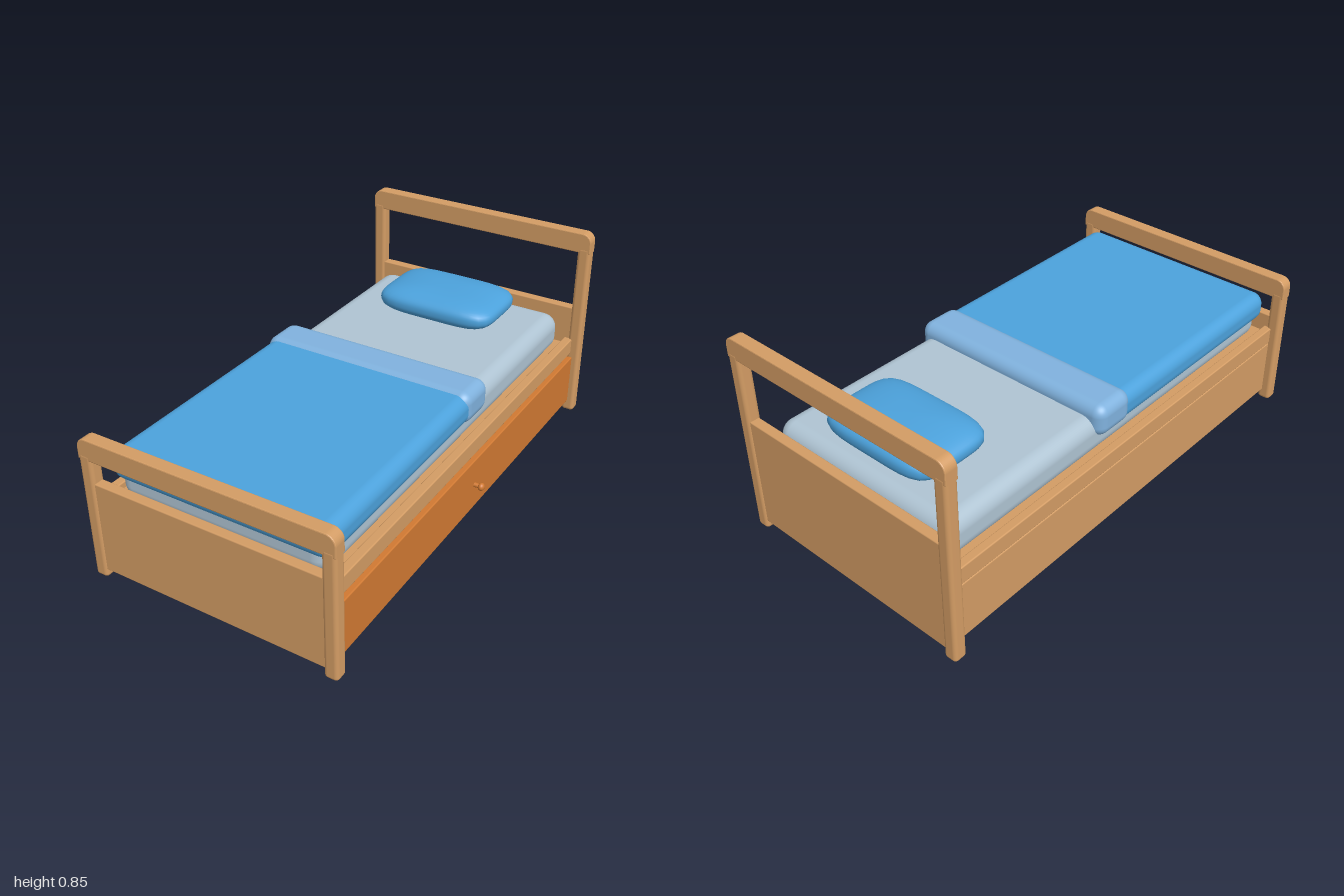
import * as THREE from 'three';
import { mergeVertices } from 'three/addons/utils/BufferGeometryUtils.js';
import { RoundedBoxGeometry } from 'three/addons/geometries/RoundedBoxGeometry.js';

const material = (name, color) => {
  const m = new THREE.MeshStandardMaterial({ color });
  m.name = name;
  return m;
};

// Rounded box given by its limits on each axis
function block(name, mat, [x0, x1], [y0, y1], [z0, z1], radius = 0.005, segments = 3) {
  const mesh = new THREE.Mesh(
    new RoundedBoxGeometry(x1 - x0, y1 - y0, z1 - z0, segments, radius), mat);
  mesh.position.set((x0 + x1) / 2, (y0 + y1) / 2, (z0 + z1) / 2);
  mesh.name = name;
  return mesh;
}

// Plump cushion: a sphere pushed out to a rounded rectangle in plan
function cushionGeometry(w, h, d) {
  let g = new THREE.SphereGeometry(1, 48, 32);
  g.deleteAttribute('uv');
  g.deleteAttribute('normal');
  g = mergeVertices(g);
  const p = g.attributes.position, v = new THREE.Vector3();
  const n = 5, m = 2.6;
  for (let i = 0; i < p.count; i++) {
    v.fromBufferAttribute(p, i);
    const plan = Math.pow(Math.abs(v.x) ** n + Math.abs(v.z) ** n, m / n);
    v.divideScalar(Math.pow(plan + Math.abs(v.y) ** m, 1 / m));
    p.setXYZ(i, v.x * w / 2, v.y * h / 2, v.z * d / 2);
  }
  g.computeVertexNormals();
  return g;
}

// Top rail with rounded upper corners
function railGeometry(width, height, depth) {
  const b = 0.004, w = width / 2 - b, h = height - 2 * b, r = 0.035;
  const s = new THREE.Shape();
  s.moveTo(-w, 0);
  s.lineTo(w, 0);
  s.lineTo(w, h - r);
  s.absarc(w - r, h - r, r, 0, Math.PI / 2);
  s.lineTo(-w + r, h);
  s.absarc(-w + r, h - r, r, Math.PI / 2, Math.PI);
  s.closePath();
  const g = new THREE.ExtrudeGeometry(s, {
    depth: depth - 2 * b, bevelSize: b, bevelThickness: b, bevelSegments: 2, curveSegments: 8,
  });
  return g.translate(0, b, b - depth / 2);
}

export function createModel() {
  const wood = material('wood', 0xd39c64);
  const orange = material('drawer orange', 0xd07932);
  const blue = material('blanket blue', 0x4ca2dc);
  const foldBlue = material('fold blue', 0x80b2de);
  const sheet = material('sheet grey', 0xafc4d3);

  const model = new THREE.Group();
  model.name = 'bed';

  // Headboard and footboard: two posts, lower panel and top rail
  const endBoard = (name, z, top, panelTop) => {
    const g = new THREE.Group();
    g.name = name;
    for (const x of [-0.53, 0.455]) {
      g.add(block('post', wood, [x, x + 0.055], [0, top - 0.06], [-0.0275, 0.0275], 0.015, 4));
    }
    g.add(block('panel', wood, [-0.49, 0.47], [0.035, panelTop], [-0.02, 0.02]));
    const rail = new THREE.Mesh(railGeometry(1.04, 0.085, 0.053), wood);
    rail.name = 'topRail';
    rail.position.set(-0.01, top - 0.085, 0);
    g.add(rail);
    g.position.z = z;
    model.add(g);
  };
  endBoard('headboard', -0.9725, 0.845, 0.5);
  endBoard('footboard', 0.9725, 0.59, 0.41);

  // Base and side boards
  const length = [-0.955, 0.955];
  model.add(
    block('base', wood, [-0.475, 0.455], [0.042, 0.33], length),
    block('leftSideRail', wood, [-0.495, -0.46], [0.283, 0.355], length),
    block('leftSidePanel', wood, [-0.494, -0.46], [0.042, 0.281], length),
    block('rightSideRail', wood, [0.435, 0.472], [0.285, 0.355], length),
    block('rightLowerRail', wood, [0.435, 0.472], [0.042, 0.06], length),
  );

  // Drawer with a round knob
  const drawer = new THREE.Group();
  drawer.name = 'drawer';
  drawer.add(block('drawerFront', orange, [0.45, 0.487], [0.058, 0.278], [-0.932, 0.932]));
  const neck = new THREE.Mesh(new THREE.CylinderGeometry(0.008, 0.01, 0.03, 16), orange);
  neck.name = 'knobNeck';
  neck.rotation.z = -Math.PI / 2;
  neck.position.set(0.498, 0.165, 0);
  const knob = new THREE.Mesh(new THREE.SphereGeometry(0.016, 20, 14), orange);
  knob.name = 'knob';
  knob.scale.x = 0.8;
  knob.position.set(0.516, 0.165, 0);
  drawer.add(neck, knob);
  model.add(drawer);

  // Bedding
  model.add(
    block('mattress', sheet, [-0.44, 0.42], [0.325, 0.485], [-0.92, 0.92], 0.06, 6),
    block('blanket', blue, [-0.462, 0.438], [0.402, 0.525], [-0.1, 0.935], 0.05, 6),
    block('blanketFold', foldBlue, [-0.467, 0.443], [0.402, 0.535], [-0.178, 0.008], 0.045, 6),
  );
  const pillow = new THREE.Mesh(cushionGeometry(0.525, 0.125, 0.35), blue);
  pillow.name = 'pillow';
  pillow.position.set(-0.012, 0.54, -0.688);
  model.add(pillow);

  return model;
}
